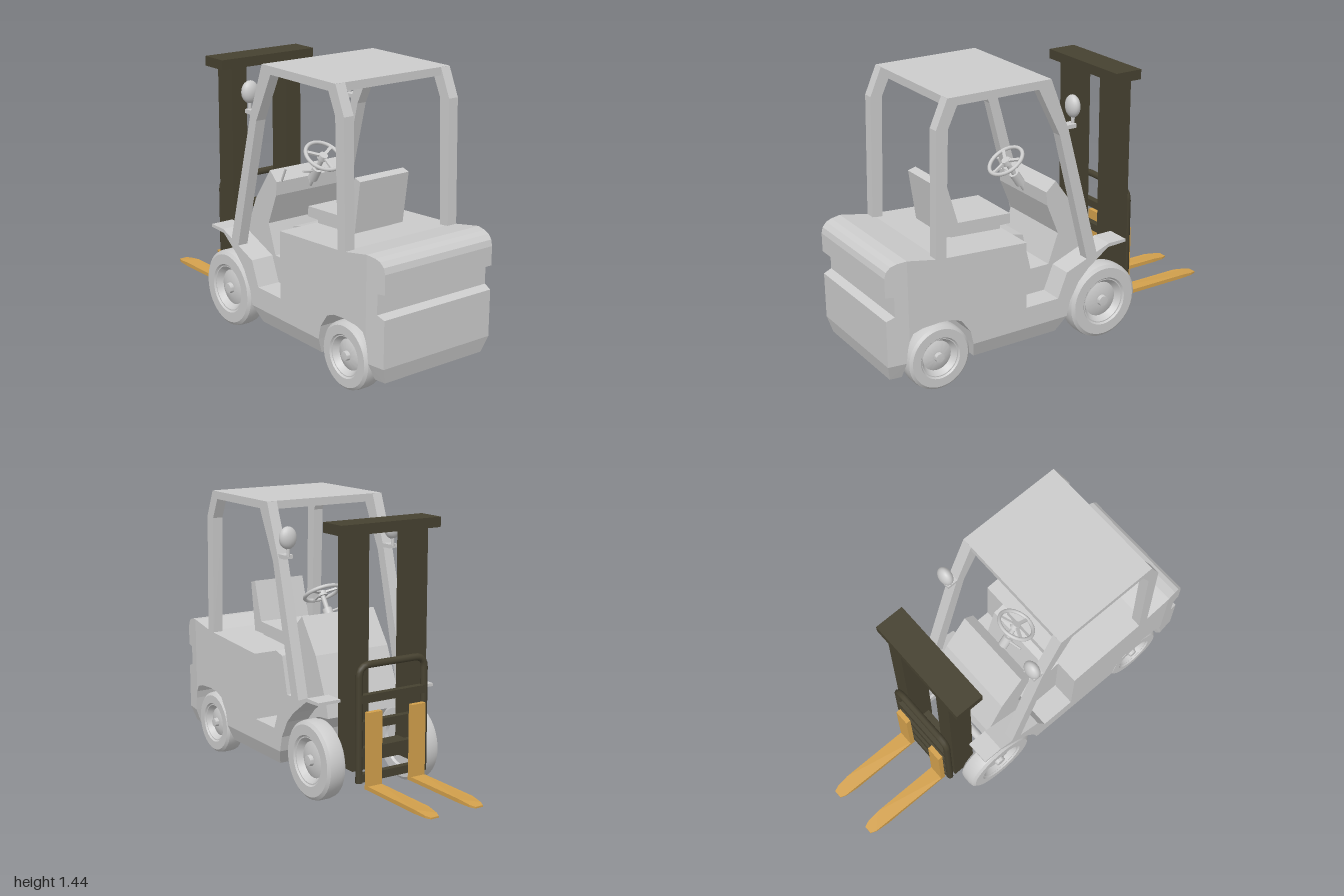
import * as THREE from 'three';
import { toCreasedNormals } from 'three/addons/utils/BufferGeometryUtils.js';

const grey = new THREE.MeshStandardMaterial({ color: 0xcccccc });
const dark = new THREE.MeshStandardMaterial({ color: 0x464130 });
const gold = new THREE.MeshStandardMaterial({ color: 0xd2a04c });

export function createModel() {
  const model = new THREE.Group();
  model.name = 'forklift';

  const add = (name, geometry, material = grey, x = 0, y = 0, z = 0, parent = model) => {
    const mesh = new THREE.Mesh(geometry, material);
    mesh.name = name;
    mesh.position.set(x, y, z);
    parent.add(mesh);
    return mesh;
  };
  const shapeOf = (points) => new THREE.Shape(points.map(([x, y]) => new THREE.Vector2(x, y)));
  // Side profile in x/y, extruded from z0 to z1
  const slab = (points, z0, z1) =>
    new THREE.ExtrudeGeometry(shapeOf(points), { depth: z1 - z0, bevelEnabled: false }).translate(0, 0, z0);
  // Move vertices by a rule, then rebuild the flat normals
  const reshape = (geometry, rule) => {
    const p = geometry.attributes.position;
    const v = new THREE.Vector3();
    for (let i = 0; i < p.count; i++) {
      rule(v.fromBufferAttribute(p, i));
      p.setXYZ(i, v.x, v.y, v.z);
    }
    geometry.computeVertexNormals();
    return geometry;
  };
  const box = (name, x0, x1, y0, y1, z0, z1, material) =>
    add(name, new THREE.BoxGeometry(x1 - x0, y1 - y0, z1 - z0), material, (x0 + x1) / 2, (y0 + y1) / 2, (z0 + z1) / 2);
  const rod = (name, a, b, r, material = grey, sides = 12) => {
    const from = new THREE.Vector3(...a), dir = new THREE.Vector3(...b).sub(from);
    const mesh = add(name, new THREE.CylinderGeometry(r, r, dir.length(), sides), material);
    mesh.position.copy(from).addScaledVector(dir, 0.5);
    mesh.quaternion.setFromUnitVectors(new THREE.Vector3(0, 1, 0), dir.normalize());
    return mesh;
  };

  // Main body with rear wheel arch
  add('body', slab([
    [0.05, 0.2], [0.545, 0.2], [0.56, 0.27], [0.61, 0.34], [0.66, 0.36], [0.73, 0.365], [0.82, 0.36],
    [0.87, 0.345], [0.89, 0.31], [0.89, 0.717], [0.72, 0.685], [0.24, 0.655], [0.24, 0.31], [0.05, 0.31],
  ], -0.34, 0.34));

  // Counterweight with a groove, narrowing to the rear
  const narrow = (v) => { v.z *= 1 - 0.045 * Math.max(0, (v.x - 0.89) / 0.11); };
  add('counterweight', reshape(slab([
    [0.89, 0.31], [0.9, 0.27], [0.908, 0.2], [1, 0.2], [1, 0.435], [0.957, 0.45], [0.957, 0.55],
    [1, 0.555], [1, 0.65], [0.992, 0.68], [0.97, 0.702], [0.94, 0.712], [0.89, 0.717],
  ], -0.34, 0.34), narrow));

  // Skirts that taper in towards the bottom
  const taper = (v) => { if (v.y < 0.19) v.z *= 0.91; };
  add('sideSkirt', reshape(slab([[0, 0.2], [0.05, 0.12], [0.53, 0.12], [0.545, 0.2]], -0.34, 0.34), taper));
  add('rearSkirt', reshape(slab([[0.908, 0.2], [0.92, 0.12], [0.98, 0.12], [1, 0.2]], -0.34, 0.34),
    (v) => { narrow(v); taper(v); }));

  // Dashboard, floor and front of the engine cover
  add('dashboardAndFloor', slab([
    [-0.25, 0.41], [-0.16, 0.4], [-0.08, 0.36], [-0.02, 0.28], [0, 0.2], [0.3, 0.2], [0.3, 0.655],
    [0.24, 0.655], [0.18, 0.64], [0.134, 0.445], [0.027, 0.445], [-0.03, 0.6], [0.035, 0.76],
    [0.04, 0.83], [-0.015, 0.88], [-0.14, 0.705], [-0.235, 0.48],
  ], -0.215, 0.215));

  // Roof
  box('roof', 0.1, 0.66, 1.405, 1.445, -0.34, 0.34);

  const frontPillar = [[0.1, 1.444], [0, 1.18], [-0.18, 0.5], [-0.12, 0.48], [0.05, 1.16], [0.17, 1.405], [0.17, 1.444]];
  const rearPillar = [[0.66, 1.444], [0.61, 1.444], [0.61, 1.405], [0.66, 1.3], [0.685, 0.67], [0.74, 0.67], [0.722, 1.305]];
  const fender = [
    [-0.36, 0.52], [-0.25, 0.515], [-0.13, 0.43], [-0.07, 0.37], [-0.02, 0.28], [0, 0.2],
    [0.05, 0.2], [0.053, 0.31], [0, 0.438], [-0.256, 0.535], [-0.36, 0.535],
  ];

  // Wheel turned around the z axis, outer side towards +z
  const wheelGeometry = (r) => {
    const profile = [
      [0, -0.04], [0.6, -0.04], [0.64, -0.052], [0.9, -0.052], [0.98, -0.04], [1, -0.02], [1, 0.02],
      [0.98, 0.04], [0.9, 0.052], [0.64, 0.052], [0.6, 0.044], [0.57, 0.044], [0.46, 0.015],
      [0.4, 0.02], [0.2, 0.03], [0.14, 0.03], [0.13, 0.05], [0, 0.052],
    ].map(([a, b]) => new THREE.Vector2(a * r, b));
    return toCreasedNormals(new THREE.LatheGeometry(profile, 40).rotateX(Math.PI / 2), 0.5);
  };

  for (const side of [-1, 1]) {
    const [zIn, zOut] = [0.285, 0.34].map((z) => z * side).sort((a, b) => a - b);
    add('frontPillar', slab(frontPillar, zIn, zOut));
    add('rearPillar', slab(rearPillar, zIn, zOut));
    add('frontFender', slab(fender, side > 0 ? 0.215 : -0.34, side > 0 ? 0.34 : -0.215));

    // Wheels
    for (const [name, x, y, r] of [['frontWheel', -0.24, 0.214, 0.2], ['rearWheel', 0.722, 0.17, 0.167]]) {
      const wheel = add(name, wheelGeometry(r), grey, x, y, side * 0.278);
      if (side < 0) wheel.rotation.y = Math.PI;
    }

    // Lamps on the front pillars
    box('lampBracket', -0.05, 0.015, 1.18, 1.2, side * 0.31 - 0.025, side * 0.31 + 0.025);
    rod('lampStalk', [-0.045, 1.19, side * 0.31], [-0.045, 1.25, side * 0.31], 0.009);
    add('lamp', new THREE.SphereGeometry(1, 20, 14).scale(0.032, 0.056, 0.047), grey, -0.043, 1.283, side * 0.31);

    // Mast columns
    const zc = side * 0.17;
    box('mastColumn', -0.465, -0.34, 0.2, 1.345, zc - 0.045, zc + 0.045, dark);

    // Forks: blade with a narrowed, thinned tip, and upright shank
    const zf = side * 0.128;
    const blade = new THREE.ExtrudeGeometry(shapeOf([
      [-0.5, -0.041], [-0.5, 0.041], [-0.9, 0.041], [-0.97, 0.034], [-1, 0.022],
      [-1, -0.022], [-0.97, -0.034], [-0.9, -0.041],
    ]), { depth: 0.02, bevelEnabled: false }).rotateX(-Math.PI / 2);
    reshape(blade, (v) => { if (v.x < -0.91 && v.y > 0.01) v.y -= 0.012 * (-v.x - 0.9) / 0.1; });
    add('forkBlade', blade, gold, 0, 0.115, zf);
    box('forkShank', -0.528, -0.502, 0.115, 0.5, zf - 0.041, zf + 0.041, gold);
  }

  // Axles
  rod('frontAxle', [-0.24, 0.214, -0.27], [-0.24, 0.214, 0.27], 0.022);
  rod('rearAxle', [0.722, 0.17, -0.27], [0.722, 0.17, 0.27], 0.022);

  // Mast crosshead and lower tie
  box('mastCrosshead', -0.472, -0.32, 1.34, 1.39, -0.285, 0.285, dark);
  box('mastLowerTie', -0.42, -0.36, 0.22, 0.3, -0.13, 0.13, dark);

  // Carriage: rounded frame with cross bars
  const frame = new THREE.CurvePath();
  const at = (y, z) => new THREE.Vector3(-0.483, y, z);
  frame.add(new THREE.LineCurve3(at(0.145, -0.19), at(0.67, -0.19)));
  frame.add(new THREE.QuadraticBezierCurve3(at(0.67, -0.19), at(0.723, -0.19), at(0.723, -0.13)));
  frame.add(new THREE.LineCurve3(at(0.723, -0.13), at(0.723, 0.13)));
  frame.add(new THREE.QuadraticBezierCurve3(at(0.723, 0.13), at(0.723, 0.19), at(0.67, 0.19)));
  frame.add(new THREE.LineCurve3(at(0.67, 0.19), at(0.145, 0.19)));
  add('carriageFrame', new THREE.TubeGeometry(frame, 80, 0.018, 8), dark);
  for (const y of [0.17, 0.3, 0.43, 0.56]) box('carriageBar', -0.5, -0.466, y - 0.02, y + 0.02, -0.19, 0.19, dark);

  // Seat
  add('seatBase', slab([[0.25, 0.645], [0.53, 0.66], [0.53, 0.7], [0.25, 0.7]], -0.12, 0.12));
  add('seatCushion', slab([[0.21, 0.685], [0.56, 0.692], [0.56, 0.757], [0.5, 0.752], [0.21, 0.737]], -0.148, 0.148));
  add('seatBack', slab([[0.505, 0.75], [0.52, 0.692], [0.57, 0.692], [0.606, 0.95], [0.565, 0.962]], -0.148, 0.148));

  // Steering column and wheel
  rod('steeringColumn', [0.02, 0.77, 0], [0.135, 0.945, 0], 0.013);
  rod('columnSleeve', [0.05, 0.815, 0], [0.09, 0.876, 0], 0.026);
  rod('columnStalk', [0.075, 0.86, 0], [0.09, 0.875, 0.09], 0.006);
  const steering = new THREE.Group();
  steering.name = 'steeringWheel';
  steering.position.set(0.137, 0.95, 0);
  steering.quaternion.setFromUnitVectors(new THREE.Vector3(0, 1, 0), new THREE.Vector3(0.557, 0.83, 0).normalize());
  model.add(steering);
  add('rim', new THREE.TorusGeometry(0.093, 0.01, 10, 36).rotateX(Math.PI / 2), grey, 0, 0, 0, steering);
  add('hub', new THREE.CylinderGeometry(0.022, 0.026, 0.025, 16), grey, 0, -0.005, 0, steering);
  for (let i = 0; i < 3; i++) {
    const spoke = new THREE.BoxGeometry(0.09, 0.01, 0.016).translate(0.045, 0, 0).rotateY((i * 2 * Math.PI) / 3);
    add('spoke', spoke, grey, 0, 0, 0, steering);
  }

  // Control lever
  rod('controlLever', [0.01, 0.78, 0.18], [0.07, 0.9, 0.18], 0.006);
  return model;
}
